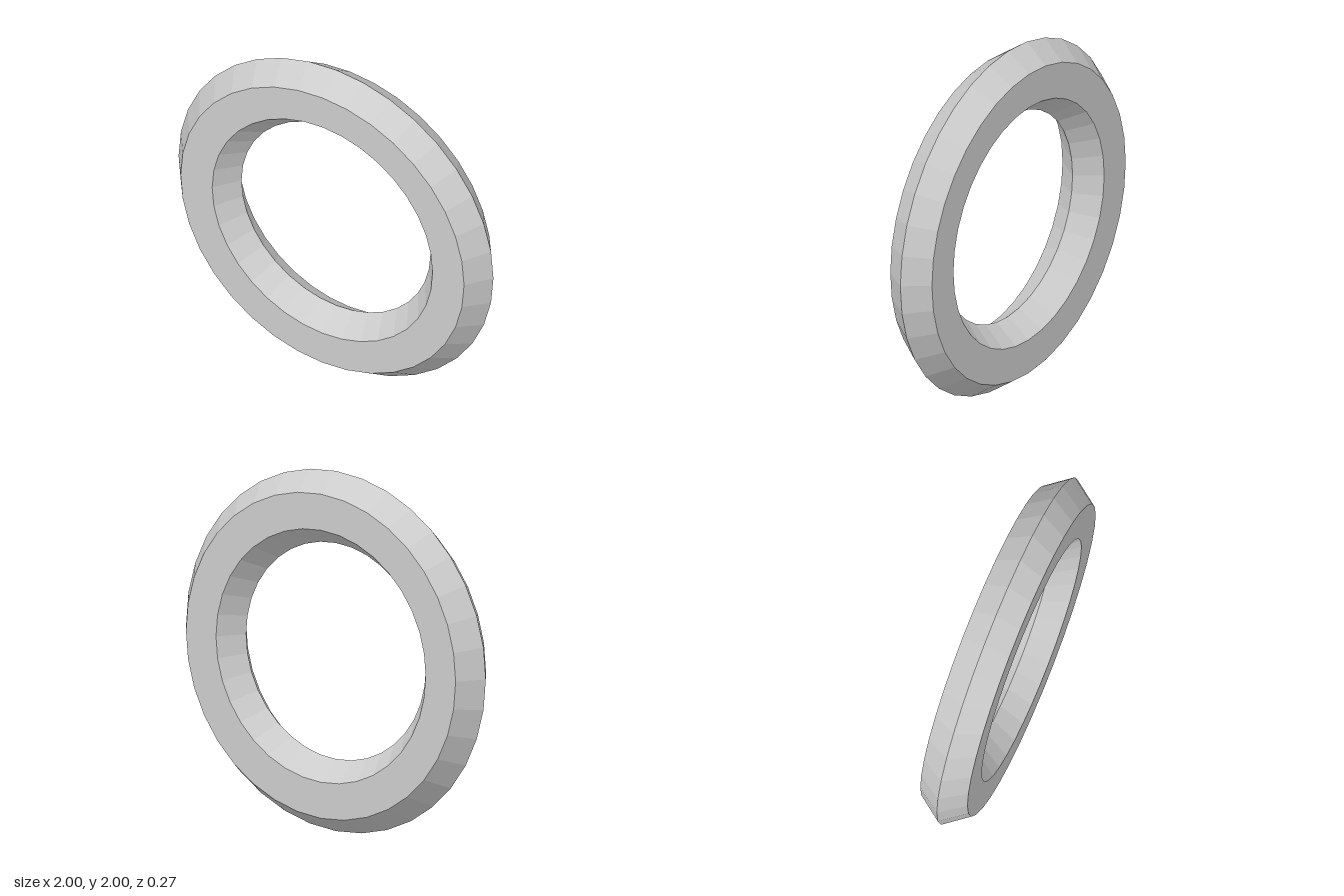
import * as THREE from 'three';

export function createModel() {
  const group = new THREE.Group();
  const material = new THREE.MeshStandardMaterial({ color: 0xcccccc, flatShading: true });

  // Ring with a six-sided section: sharp outer and inner rims, flat front and back
  const tube = 0.2, halfDepth = 0.137;
  const geometry = new THREE.TorusGeometry(0.8, tube, 6, 36);
  geometry.scale(1, 1, halfDepth / (tube * Math.sin(Math.PI / 3)));
  geometry.translate(0, 1, 0);

  const ring = new THREE.Mesh(geometry, material);
  ring.name = 'ring';
  group.add(ring);
  return group;
}
